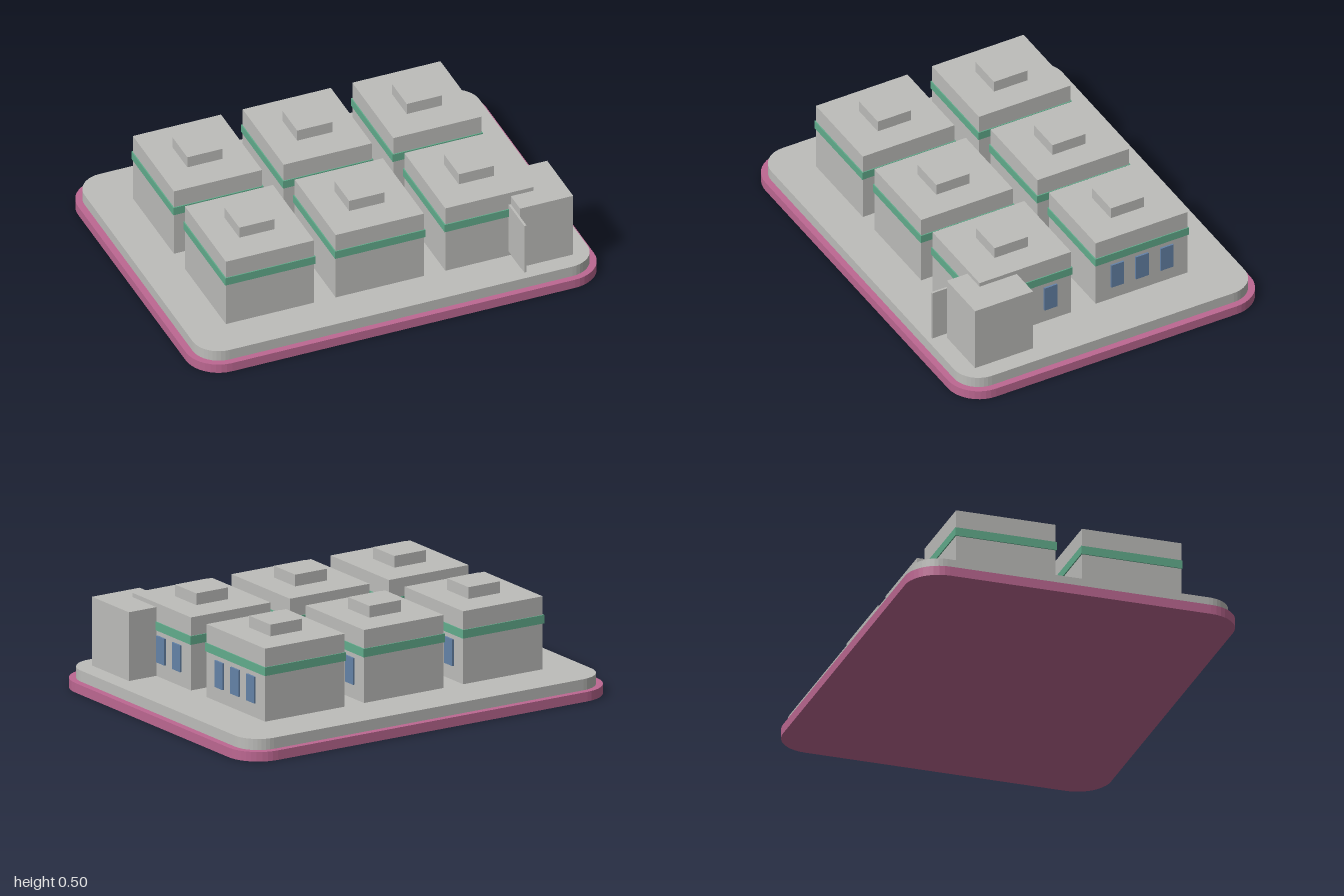
import * as THREE from 'three';

const material = (name, color) => {
  const m = new THREE.MeshStandardMaterial({ color });
  m.name = name;
  return m;
};

// Box given by its minimum and maximum corners
function box(name, mat, [x0, y0, z0], [x1, y1, z1]) {
  const mesh = new THREE.Mesh(new THREE.BoxGeometry(x1 - x0, y1 - y0, z1 - z0), mat);
  mesh.position.set((x0 + x1) / 2, (y0 + y1) / 2, (z0 + z1) / 2);
  mesh.name = name;
  return mesh;
}

// Flat slab with rounded corners, lying between y0 and y1
function slab(name, mat, hx, hz, r, y0, y1) {
  const s = new THREE.Shape();
  s.absarc(hx - r, hz - r, r, 0, Math.PI / 2);
  s.absarc(-hx + r, hz - r, r, Math.PI / 2, Math.PI);
  s.absarc(-hx + r, -hz + r, r, Math.PI, Math.PI * 1.5);
  s.absarc(hx - r, -hz + r, r, Math.PI * 1.5, Math.PI * 2);
  s.closePath();
  const geo = new THREE.ExtrudeGeometry(s, { depth: y1 - y0, bevelEnabled: false, curveSegments: 5 });
  geo.rotateX(-Math.PI / 2);
  const mesh = new THREE.Mesh(geo, mat);
  mesh.position.y = y0;
  mesh.name = name;
  return mesh;
}

export function createModel() {
  const grey = material('concrete grey', 0xbdbdba);
  const pink = material('base pink', 0xbd6892);
  const green = material('band green', 0x62ad8d);
  const blue = material('window blue', 0x6583a8);

  const model = new THREE.Group();
  model.name = 'buildingBlock';

  // Stepped ground plate
  model.add(slab('baseRim', pink, 1, 0.783, 0.16, 0, 0.045));
  model.add(slab('groundSlab', grey, 0.967, 0.752, 0.127, 0.045, 0.097));

  // One house: body, painted band, roof cap and a row of windows on its left side
  const hx = 0.216, hz = 0.237, e = 0.005;
  function house(x, z) {
    const g = new THREE.Group();
    g.name = 'house';
    g.position.set(x, 0, z);
    g.add(box('houseBody', grey, [-hx, 0.097, -hz], [hx, 0.44, hz]));
    g.add(box('houseBand', green, [-hx - e, 0.313, -hz - e], [hx + e, 0.353, hz + e]));
    g.add(box('roofCap', grey, [-0.086, 0.44, -0.086], [0.086, 0.495, 0.086]));
    for (const wz of [-0.128, 0, 0.128]) {
      g.add(box('window', blue, [hx, 0.165, wz - 0.033], [hx + 0.009, 0.29, wz + 0.033]));
    }
    return g;
  }
  for (const x of [-0.56, -0.022, 0.515]) {
    for (const z of [-0.28, 0.321]) model.add(house(x, z));
  }

  // Entrance block at the front left corner, with an upright panel beside it
  model.add(box('entranceBlock', grey, [0.62, 0.097, 0.365], [0.88, 0.42, 0.665]));
  model.add(box('entrancePanel', grey, [0.609, 0.12, 0.5], [0.62, 0.376, 0.74]));

  return model;
}
